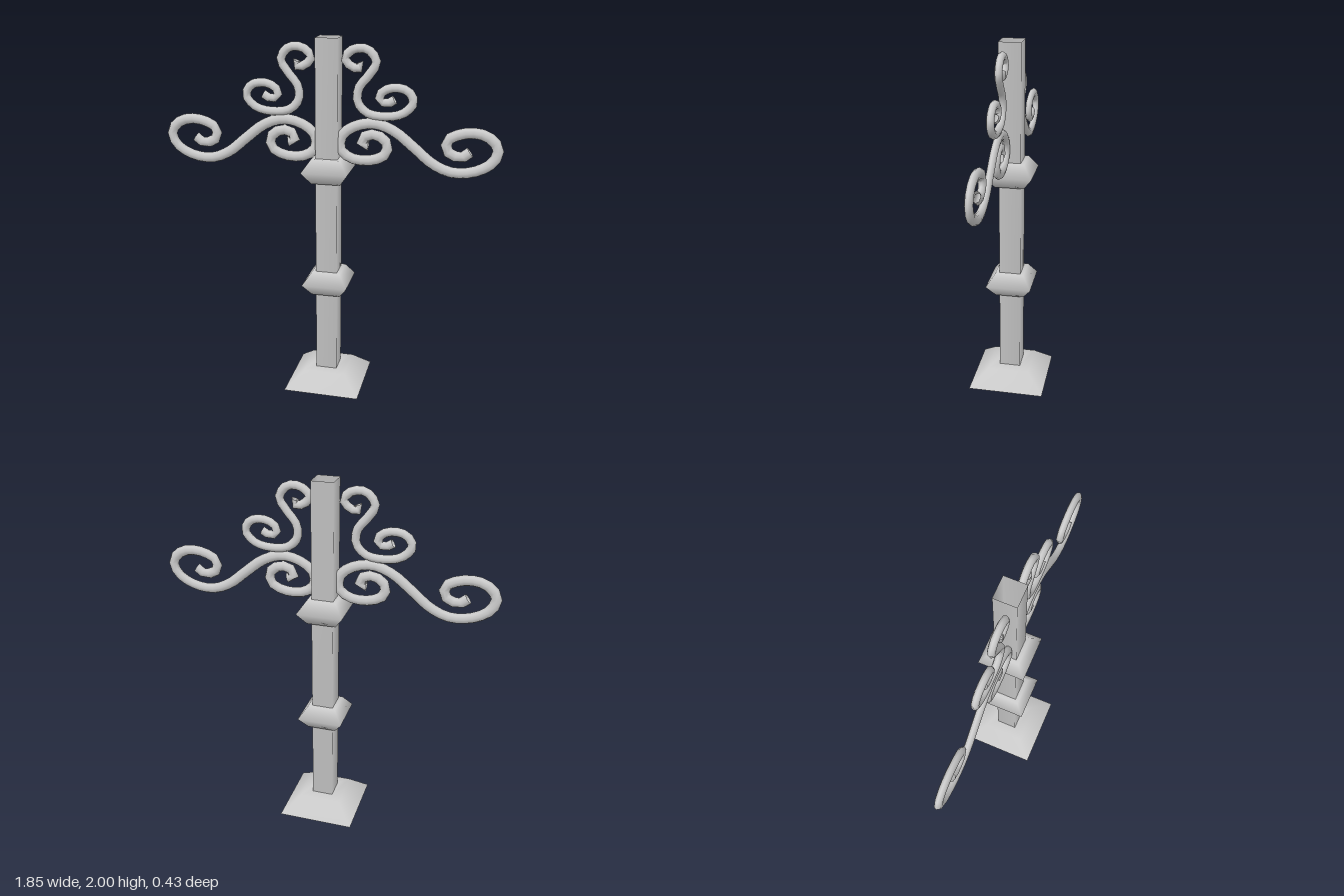
import * as THREE from 'three';

const material = new THREE.MeshStandardMaterial({ color: 0xcccccc, side: THREE.DoubleSide });

// Four-sided turned part; profile entries are [half width, height].
function squareLathe(name, profile) {
  const points = profile.map(([w, y]) => new THREE.Vector2(w * Math.SQRT2, y));
  const mesh = new THREE.Mesh(new THREE.LatheGeometry(points, 4, Math.PI / 4), material);
  mesh.name = name;
  return mesh;
}

// Flattened bar bent along a curve in the xy plane.
function scroll(name, path, radius, side) {
  const points = path.map(([x, y]) => new THREE.Vector3(side * x, y, 0));
  const curve = new THREE.CatmullRomCurve3(points, false, 'centripetal');
  const geometry = new THREE.TubeGeometry(curve, path.length * 2, radius, 8);
  geometry.scale(1, 1, 0.02 / radius);
  geometry.translate(0, 0, 0.018);
  const mesh = new THREE.Mesh(geometry, material);
  mesh.name = name;
  return mesh;
}

// Centre lines on the +x side
const largePath = [
  [0.755, 1.435], [0.71, 1.405], [0.64, 1.43], [0.635, 1.49], [0.74, 1.535],
  [0.84, 1.52], [0.895, 1.46], [0.875, 1.39], [0.79, 1.335], [0.67, 1.32],
  [0.565, 1.36], [0.46, 1.445], [0.355, 1.525], [0.25, 1.56], [0.145, 1.54],
  [0.075, 1.485], [0.07, 1.41], [0.13, 1.365], [0.235, 1.36], [0.31, 1.395],
  [0.32, 1.455], [0.26, 1.5], [0.195, 1.485], [0.185, 1.445], [0.22, 1.44],
];
const smallPath = [
  [0.165, 1.875], [0.175, 1.85], [0.13, 1.85], [0.09, 1.895], [0.135, 1.942],
  [0.21, 1.942], [0.255, 1.88], [0.215, 1.81], [0.165, 1.745], [0.16, 1.67],
  [0.21, 1.615], [0.305, 1.6], [0.4, 1.62], [0.452, 1.68], [0.425, 1.735],
  [0.35, 1.752], [0.285, 1.725], [0.275, 1.685], [0.315, 1.67], [0.355, 1.69],
];

export function createModel() {
  const model = new THREE.Group();
  model.name = 'scrolledPost';

  // Hollow post and open flared foot
  model.add(squareLathe('post', [[0.037, 0.09], [0.06, 0.09], [0.06, 2]]));
  model.add(squareLathe('foot', [[0.215, 0], [0.12, 0.092], [0.06, 0.092]]));

  // Solid collars around the post
  for (const [name, y] of [['lowerCollar', 0.635], ['upperCollar', 1.293]]) {
    model.add(squareLathe(name, [
      [0, y - 0.068], [0.08, y - 0.068], [0.127, y], [0.08, y + 0.068], [0, y + 0.068],
    ]));
  }

  // Mirrored pairs of scrolls
  for (const [label, side] of [['left', 1], ['right', -1]]) {
    model.add(scroll(label + 'LargeScroll', largePath, 0.029, side));
    model.add(scroll(label + 'SmallScroll', smallPath, 0.024, side));
  }
  return model;
}
